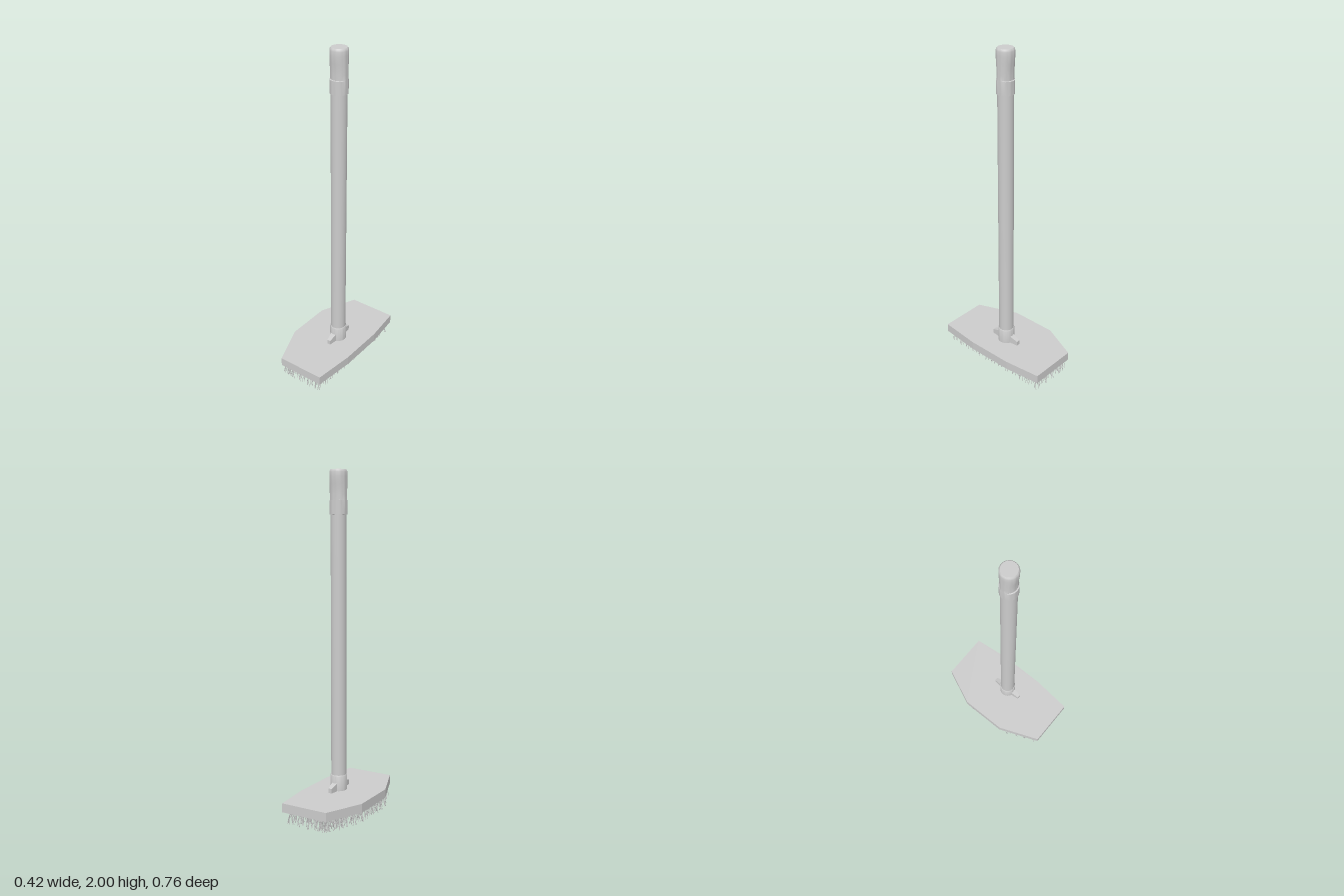
import * as THREE from 'three';
import { mergeGeometries, toCreasedNormals } from 'three/addons/utils/BufferGeometryUtils.js';

const POLE_X = 0.037;
const HEAD_BOTTOM = 0.075, HEAD_TOP = 0.128;
const material = new THREE.MeshStandardMaterial({ color: 0xcccccc });
const bristleMaterial = new THREE.MeshStandardMaterial({ color: 0xcccccc, side: THREE.DoubleSide });

function addMesh(parent, name, geometry, mat = material) {
  const mesh = new THREE.Mesh(geometry, mat);
  mesh.name = name;
  parent.add(mesh);
  return mesh;
}

function lathe(points) {
  return new THREE.LatheGeometry(points.map(([r, y]) => new THREE.Vector2(r, y)), 40);
}

// Small seeded generator for the bristle variation
function seeded(seed) {
  return () => {
    seed = (seed * 16807) % 2147483647;
    return seed / 2147483647;
  };
}

// Eight-sided block, tapered more strongly along its -x edge
function headGeometry() {
  const outline = [
    [-0.11, -0.38], [0.183, -0.38], [0.208, -0.155], [0.208, 0.13],
    [0.183, 0.38], [-0.11, 0.38], [-0.21, 0.13], [-0.21, -0.155],
  ];
  const shape = new THREE.Shape(outline.map(([x, z]) => new THREE.Vector2(x, -z)));
  const geometry = new THREE.ExtrudeGeometry(shape, { depth: HEAD_TOP - HEAD_BOTTOM, bevelEnabled: false });
  return geometry.rotateX(-Math.PI / 2).translate(0, HEAD_BOTTOM, 0);
}

// Grip pinched in z between a lower step and a soft upper blend
function gripGeometry() {
  const R = 0.051;
  const geometry = lathe([
    [0.044, 1.75], [R, 1.75], [R, 1.828], [R, 1.83], [R, 1.86], [R, 1.89],
    [R, 1.92], [R, 1.94], [R, 1.96], [R, 1.985], [0.049, 1.994], [0.044, 2], [0, 2],
  ]);
  const p = geometry.attributes.position;
  for (let i = 0; i < p.count; i++) {
    const y = p.getY(i);
    if (y > 1.829 && y < 1.96) {
      const blend = THREE.MathUtils.smoothstep(y, 1.87, 1.96);
      p.setZ(i, p.getZ(i) * THREE.MathUtils.lerp(0.87, 1, blend));
    }
  }
  return toCreasedNormals(geometry, 0.6);
}

// Wing of the collar: narrows in x and slopes down towards its tip
function wingGeometry() {
  const geometry = new THREE.BoxGeometry(1, 1, 1).translate(0, 0.5, 0.5);
  const p = geometry.attributes.position;
  for (let i = 0; i < p.count; i++) {
    const tip = p.getZ(i);
    p.setXYZ(
      i,
      p.getX(i) * (tip ? 0.022 : 0.036),
      HEAD_TOP - 0.003 + p.getY(i) * (tip ? 0.031 : 0.052),
      tip ? 0.099 : 0.04,
    );
  }
  return toCreasedNormals(geometry, 0.1);
}

// Tuft of kinked strands that splay out towards the floor
function tuftStrands(x, z, random) {
  const strands = [];
  const count = 8;
  for (let i = 0; i < count; i++) {
    const angle = ((i + random() * 0.7) / count) * Math.PI * 2;
    const spread = 0.013 + random() * 0.012;
    const point = (r, y, twist = 0) => new THREE.Vector3(
      x + Math.cos(angle + twist) * r, y, z + Math.sin(angle + twist) * r);
    const path = new THREE.CatmullRomCurve3([
      point(0.007, HEAD_BOTTOM + 0.003),
      point(0.01, 0.055, (random() - 0.5) * 0.8),
      point(spread * 0.85, 0.03, (random() - 0.5) * 0.9),
      point(spread, random() * 0.008),
    ]);
    strands.push(new THREE.TubeGeometry(path, 5, 0.0022, 4));
  }
  return strands;
}

function bristleGeometry() {
  const random = seeded(41);
  const strands = [];
  for (let row = 0; row < 13; row++) {
    const z = -0.345 + row * 0.0575;
    // First two columns follow the tapered edge, the others run straight
    const taper = Math.max(0, Math.abs(z) - 0.14) * 0.4;
    const edge = -0.175 + taper;
    const columns = [edge, (edge - 0.037) / 2, -0.037, 0.023, 0.083, 0.143];
    for (const x of columns) strands.push(...tuftStrands(x, z, random));
  }
  return mergeGeometries(strands);
}

export function createModel() {
  const model = new THREE.Group();
  model.name = 'scrubBrush';

  addMesh(model, 'brushHead', headGeometry());
  addMesh(model, 'bristles', bristleGeometry(), bristleMaterial);

  // Handle assembly, set off-centre on the head
  const handle = new THREE.Group();
  handle.name = 'handle';
  handle.position.x = POLE_X;
  model.add(handle);

  const collar = lathe([[0.05, HEAD_TOP - 0.003], [0.05, 0.217], [0.047, 0.222], [0.04, 0.222]]);
  addMesh(handle, 'collar', toCreasedNormals(collar, 0.6));
  addMesh(handle, 'pole', new THREE.CylinderGeometry(0.045, 0.045, 1.62, 40).translate(0, 0.96, 0));
  addMesh(handle, 'grip', gripGeometry());
  for (const side of [0, 1]) {
    addMesh(handle, side ? 'backWing' : 'frontWing', wingGeometry()).rotation.y = side * Math.PI;
  }
  return model;
}
